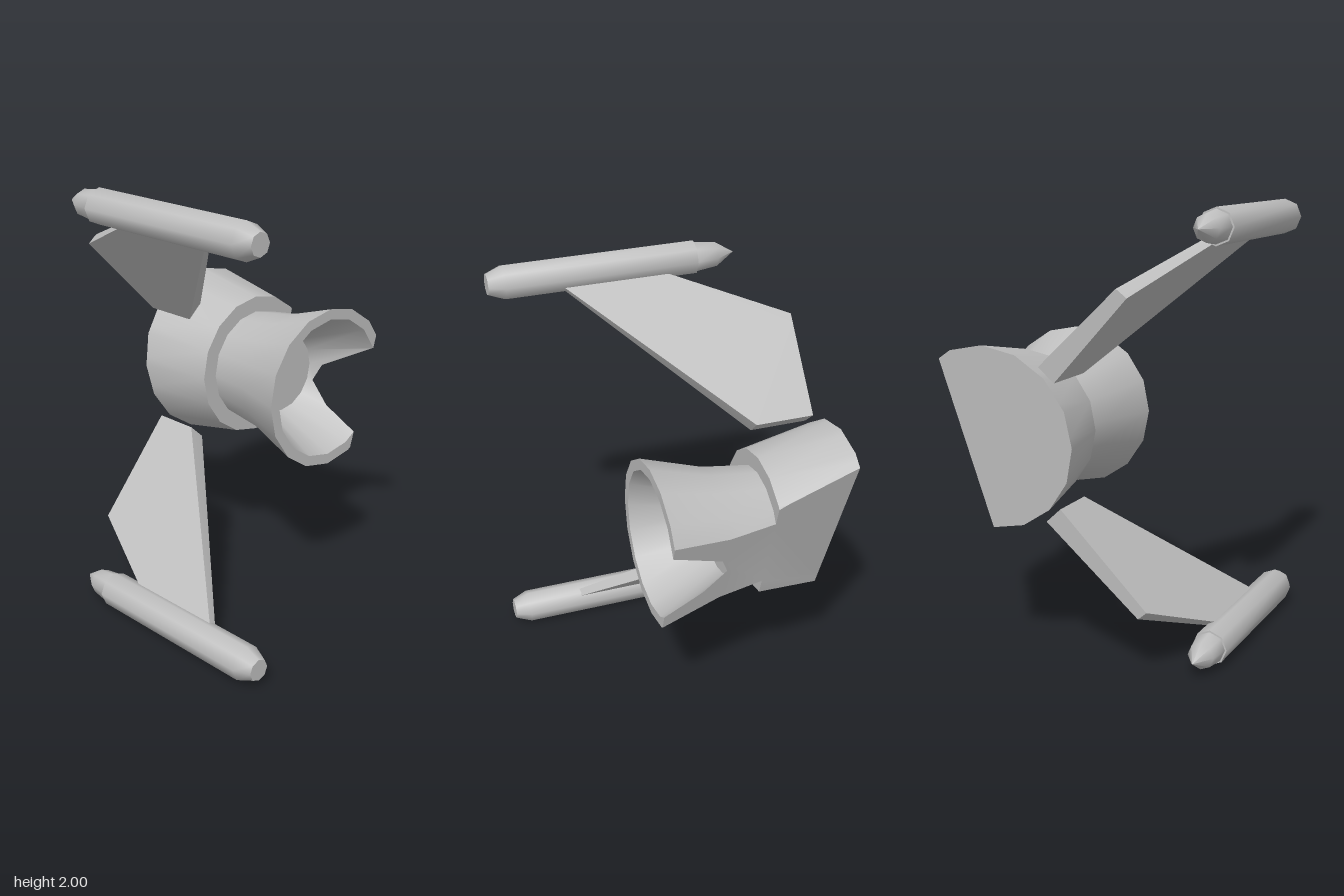
import * as THREE from 'three';
import { toCreasedNormals } from 'three/addons/utils/BufferGeometryUtils.js';
import { ConvexGeometry } from 'three/addons/geometries/ConvexGeometry.js';

const V = (x, y, z) => new THREE.Vector3(x, y, z);
const AXIS = { x: 0.33, y: 1.003 };

// Cut away everything on the positive side of a plane and close the cut with a flat cap.
function slice(geometry, plane) {
  const pos = (geometry.index ? geometry.toNonIndexed() : geometry).attributes.position;
  const out = [];
  const next = new Map();
  const key = (p) => p.toArray().map((v) => Math.round(v * 1e5)).join();
  for (let i = 0; i < pos.count; i += 3) {
    const tri = [0, 1, 2].map((k) => new THREE.Vector3().fromBufferAttribute(pos, i + k));
    const poly = [];
    let leave, enter;
    tri.forEach((a, k) => {
      const b = tri[(k + 1) % 3];
      const da = plane.distanceToPoint(a), db = plane.distanceToPoint(b);
      if (da <= 0) poly.push(a);
      if ((da <= 0) !== (db <= 0)) {
        // interpolate from the kept end so shared edges give identical points
        const p = da <= 0 ? a.clone().lerp(b, da / (da - db)) : b.clone().lerp(a, db / (db - da));
        poly.push(p);
        if (da <= 0) leave = p; else enter = p;
      }
    });
    for (let k = 2; k < poly.length; k++) out.push(poly[0], poly[k - 1], poly[k]);
    if (leave && key(leave) !== key(enter)) next.set(key(enter), leave);
  }
  // chain the cut segments into a loop
  const loop = [];
  if (next.size) {
    const start = next.keys().next().value;
    let k = start;
    do {
      const p = next.get(k);
      if (!p) break;
      loop.push(p);
      k = key(p);
    } while (k !== start && loop.length <= next.size);
  }
  const n = plane.normal;
  const u = V(0, 1, 0).cross(n).normalize();
  const v = n.clone().cross(u);
  const flat = loop.map((p) => new THREE.Vector2(p.dot(u), p.dot(v)));
  for (const [a, b, c] of THREE.ShapeUtils.triangulateShape(flat, [])) {
    const [p, q, r] = [loop[a], loop[b], loop[c]];
    const facing = q.clone().sub(p).cross(r.clone().sub(p)).dot(n);
    out.push(...(facing > 0 ? [p, q, r] : [p, r, q]));
  }
  return new THREE.BufferGeometry().setFromPoints(out);
}

// Revolve a [radius, z] profile around the z direction.
function turned(profile, sides, x, y) {
  const g = new THREE.LatheGeometry(profile.map(([r, z]) => new THREE.Vector2(r, z)), sides);
  g.rotateX(Math.PI / 2).translate(x, y, 0);
  g.deleteAttribute('normal');
  g.deleteAttribute('uv');
  return g;
}

export function createModel() {
  const model = new THREE.Group();
  model.name = 'model';
  const grey = new THREE.MeshStandardMaterial({ color: 0xbfbfbf });
  grey.name = 'grey';
  const add = (name, geometry, crease) => {
    const mesh = new THREE.Mesh(toCreasedNormals(geometry, crease), grey);
    mesh.name = name;
    model.add(mesh);
  };

  // slanted rear plane shared by body and wings, and the flat side of the body
  const rear = new THREE.Plane().setFromNormalAndCoplanarPoint(
    V(0, -0.085, -1).normalize(), V(0, AXIS.y, -0.625));
  const side = new THREE.Plane().setFromNormalAndCoplanarPoint(
    V(0.55, -0.17, -0.0986).normalize(), V(0.66, 1.2, 0.225));

  // body: rear drum, waist and hollow flared bell
  const body = turned([
    [0, -0.8], [0.442, -0.8], [0.345, -0.27], [0.27, -0.27], [0.3, -0.05],
    [0.385, 0.225], [0.335, 0.225], [0.197, -0.09], [0, -0.09],
  ], 16, AXIS.x, AXIS.y);
  add('body', slice(slice(body, rear), side), 0.6);

  for (const [prefix, s] of [['upper', 1], ['lower', -1]]) {
    // wing: tapered slab; each station is [span fraction, z] on both skins
    const skins = [
      [[0.06, 0.342], [-0.515, 0.877]],
      [[-0.01, 0.277], [-0.547, 0.855]],
    ];
    const stations = [[0, -0.375], [1, 0.345], [1, -0.15], [0.5, -0.9], [0, -0.9]];
    const corners = skins.flatMap(([root, tip]) => stations.map(([t, z]) => V(
      THREE.MathUtils.lerp(root[0], tip[0], t),
      AXIS.y + s * THREE.MathUtils.lerp(root[1], tip[1], t), z)));
    add(prefix + 'Wing', slice(new ConvexGeometry(corners), rear), 0.3);

    // pod: pointed tail, straight barrel, blunt nose
    const pod = turned([
      [0, -0.49], [0.06, -0.395], [0.073, -0.29], [0.081, -0.29],
      [0.081, 0.615], [0.05, 0.69], [0, 0.69],
    ], 8, -0.58, 1 + s * 0.919);
    add(prefix + 'Pod', pod, 0.9);
  }
  return model;
}
